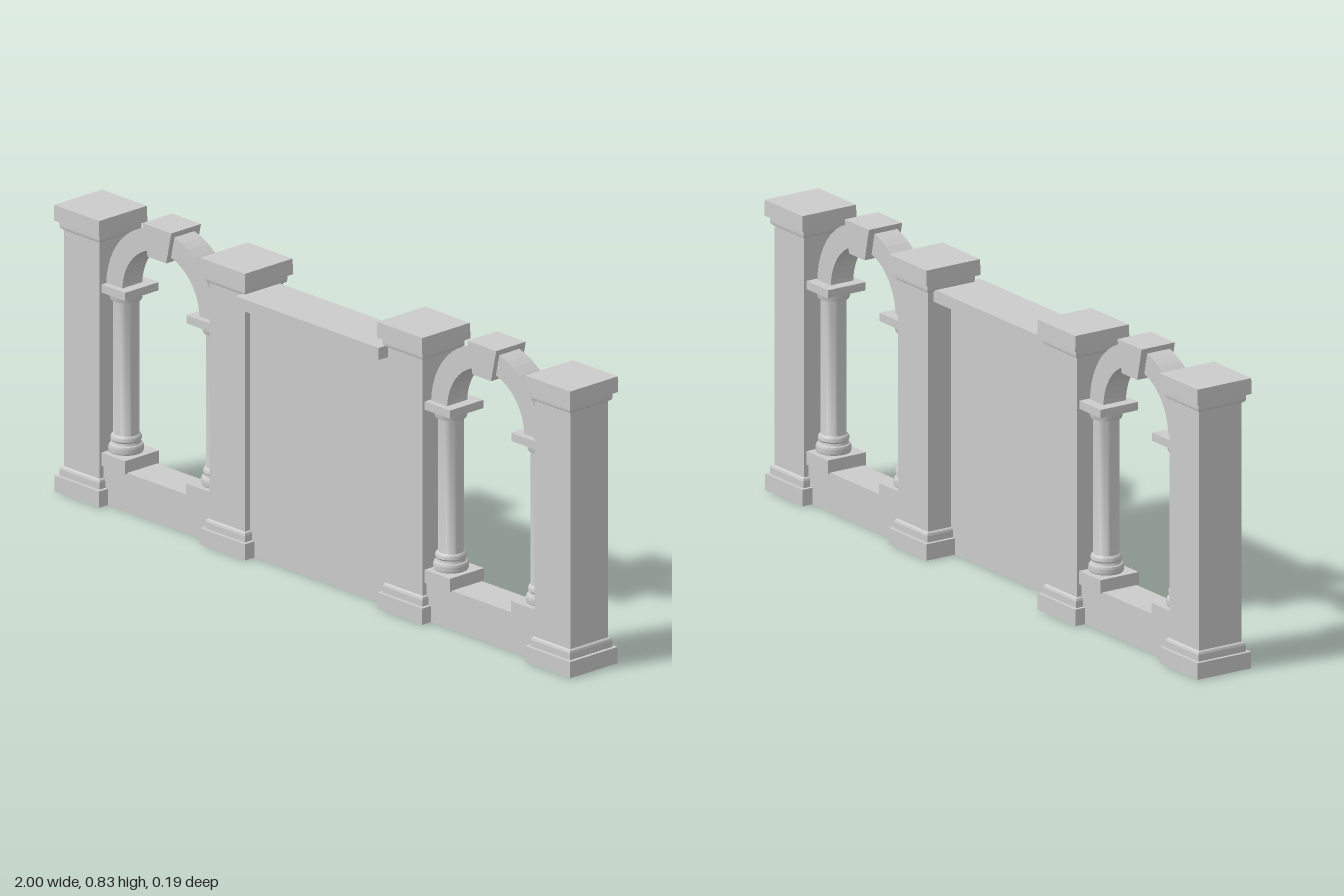
import * as THREE from 'three';
import { toCreasedNormals } from 'three/addons/utils/BufferGeometryUtils.js';

const material = new THREE.MeshStandardMaterial({ color: 0xcccccc });
const CENTRE_Z = -0.006;

function add(parent, name, geometry, x = 0, y = 0, z = 0) {
  const mesh = new THREE.Mesh(geometry, material);
  mesh.name = name;
  mesh.position.set(x, y, z);
  parent.add(mesh);
  return mesh;
}

// Box given by its limits on each axis
function block(parent, name, x0, x1, y0, y1, z0, z1) {
  return add(parent, name, new THREE.BoxGeometry(x1 - x0, y1 - y0, z1 - z0),
    (x0 + x1) / 2, (y0 + y1) / 2, (z0 + z1) / 2);
}

// Profile [half width, y] swept round a square plan
function squareLathe(profile) {
  const points = profile.map(([h, y]) => new THREE.Vector2(h * Math.SQRT2, y));
  return toCreasedNormals(new THREE.LatheGeometry(points, 4, Math.PI / 4), 0.1);
}

// Profile [radius, y] swept round a circle
function roundLathe(profile) {
  const points = profile.map(([r, y]) => new THREE.Vector2(r, y));
  return toCreasedNormals(new THREE.LatheGeometry(points, 24), 0.6);
}

// Flat outline extruded in z about its own middle
function slab(shape, depth, curveSegments = 12) {
  const geometry = new THREE.ExtrudeGeometry(shape, { depth, bevelEnabled: false, curveSegments });
  return geometry.translate(0, 0, -depth / 2);
}

const pillarGeometry = squareLathe([
  [0, 0], [0.087, 0], [0.087, 0.046], [0.077, 0.046], [0.077, 0.064], [0.075, 0.07], [0.071, 0.073],
  [0.069, 0.073], [0.069, 0.742],
  [0.072, 0.742], [0.076, 0.745], [0.077, 0.751], [0.077, 0.766], [0.088, 0.766], [0.087, 0.81], [0, 0.81],
]);

const columnGeometry = roundLathe([
  [0.046, 0.145], [0.048, 0.15], [0.048, 0.16], [0.045, 0.167], [0.041, 0.169], [0.039, 0.176],
  [0.042, 0.18], [0.042, 0.187], [0.039, 0.192], [0.035, 0.195],
  [0.035, 0.572], [0.042, 0.574], [0.044, 0.58], [0.044, 0.6],
]);

// Round-headed bay: plinth, two columns, arch ring and keystone
function archBay(x) {
  const bay = new THREE.Group();
  bay.name = 'archBay';
  bay.position.x = x;

  block(bay, 'plinth', -0.23, 0.23, 0, 0.11, CENTRE_Z - 0.055, CENTRE_Z + 0.055);

  for (const side of [-1, 1]) {
    const cx = side * 0.18;
    block(bay, 'columnBase', cx - 0.062, cx + 0.062, 0.108, 0.145, CENTRE_Z - 0.062, CENTRE_Z + 0.062);
    add(bay, 'column', columnGeometry, cx, 0, CENTRE_Z);
    block(bay, 'capital', cx - 0.061, cx + 0.061, 0.597, 0.62, CENTRE_Z - 0.061, CENTRE_Z + 0.061);
  }

  const ring = new THREE.Shape();
  ring.absarc(0, 0, 0.212, 0, Math.PI, false);
  ring.absarc(0, 0, 0.15, Math.PI, 0, true);
  ring.closePath();
  add(bay, 'archRing', slab(ring, 0.073), 0, 0.612, 0);

  const wedge = new THREE.Shape([[-0.036, 0.743], [0.036, 0.743], [0.056, 0.833], [-0.056, 0.833]]
    .map(([px, py]) => new THREE.Vector2(px, py)));
  add(bay, 'keystone', slab(wedge, 0.108), 0, 0, -0.003);
  return bay;
}

export function createModel() {
  const model = new THREE.Group();
  model.name = 'arcadeWall';

  // Four square pillars
  for (const x of [-0.913, -0.348, 0.34, 0.913]) add(model, 'pillar', pillarGeometry, x, 0, CENTRE_Z);

  // Side bays
  for (const x of [-0.634, 0.626]) model.add(archBay(x));

  // Thin middle wall under a wider coping
  block(model, 'wallPanel', -0.3, 0.3, 0, 0.715, 0, 0.045);
  block(model, 'coping', -0.281, 0.275, 0.712, 0.746, -0.057, 0.097);

  return model;
}
